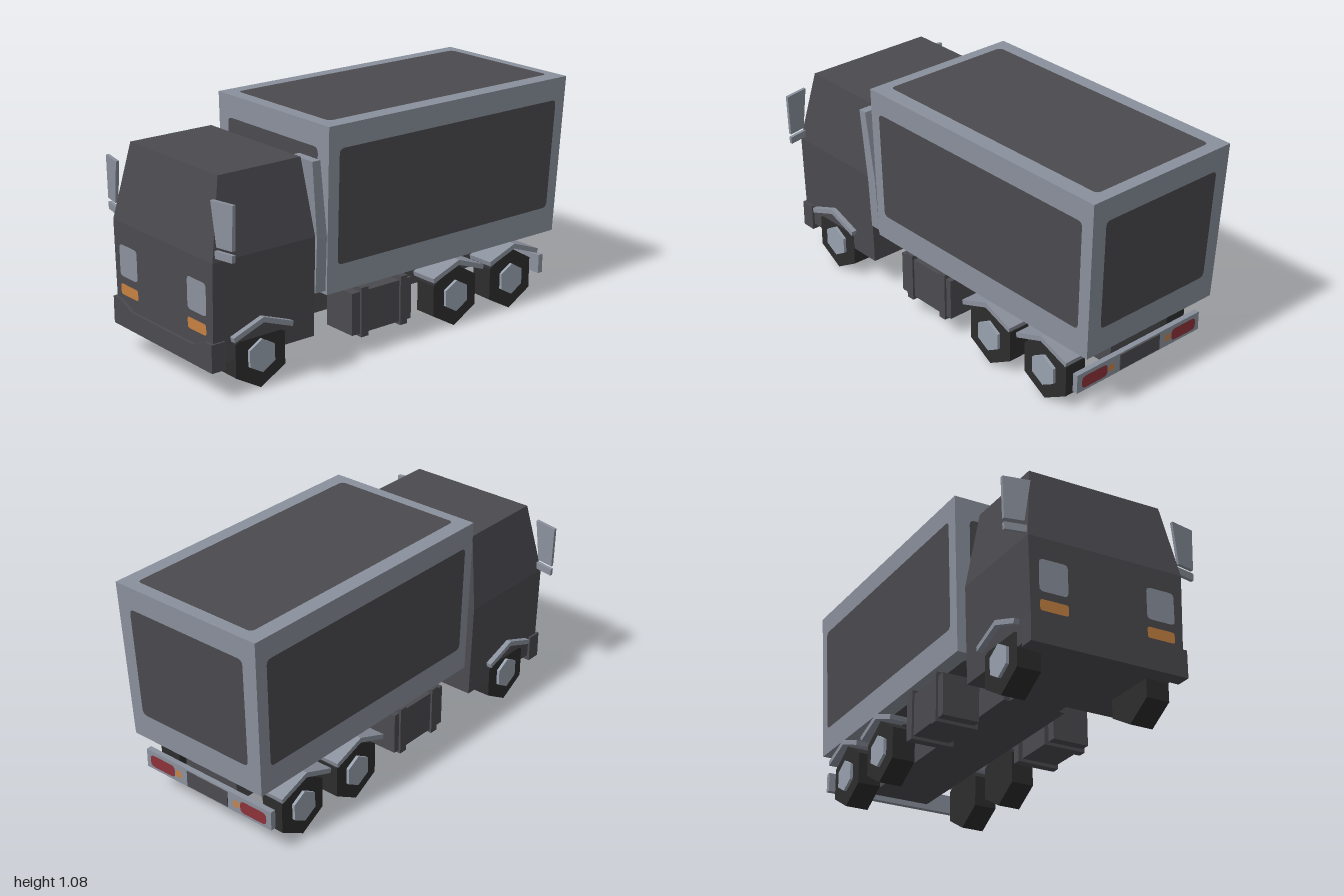
import * as THREE from 'three';

function material(name, color) {
  const m = new THREE.MeshStandardMaterial({ color, flatShading: true });
  m.name = name;
  return m;
}

// Box whose sections follow levels of [y, xMin, xMax, zBack, zFront]
function tapered(levels) {
  const n = levels.length - 1;
  const g = new THREE.BoxGeometry(1, 1, 1, 1, n, 1).toNonIndexed();
  const p = g.attributes.position;
  for (let i = 0; i < p.count; i++) {
    const [y, x0, x1, z0, z1] = levels[Math.round((p.getY(i) + 0.5) * n)];
    p.setXYZ(i, p.getX(i) < 0 ? x0 : x1, y, p.getZ(i) < 0 ? z0 : z1);
  }
  g.computeVertexNormals();
  return g;
}

// Box given by its limits
function block(x0, x1, y0, y1, z0, z1) {
  return new THREE.BoxGeometry(x1 - x0, y1 - y0, z1 - z0)
    .translate((x0 + x1) / 2, (y0 + y1) / 2, (z0 + z1) / 2);
}

function roundedRect(x0, y0, x1, y1, r) {
  const s = new THREE.Shape();
  s.moveTo(x0 + r, y0).lineTo(x1 - r, y0).quadraticCurveTo(x1, y0, x1, y0 + r);
  s.lineTo(x1, y1 - r).quadraticCurveTo(x1, y1, x1 - r, y1);
  s.lineTo(x0 + r, y1).quadraticCurveTo(x0, y1, x0, y1 - r);
  s.lineTo(x0, y0 + r).quadraticCurveTo(x0, y0, x0 + r, y0);
  return s;
}

// Rounded panel laid just over a four-cornered face (anticlockwise from bottom left)
function facePanel(corners, u0, u1, v0, v1) {
  const [a, b, c, d] = corners.map((q) => new THREE.Vector3(...q));
  const w = a.distanceTo(b), h = a.distanceTo(d);
  const g = new THREE.ShapeGeometry(roundedRect(u0 * w, v0 * h, u1 * w, v1 * h, 0.025), 4);
  const normal = b.clone().sub(a).cross(d.clone().sub(a)).normalize().multiplyScalar(0.003);
  const p = g.attributes.position;
  for (let i = 0; i < p.count; i++) {
    const u = p.getX(i) / w, v = p.getY(i) / h;
    const q = a.clone().lerp(b, u).lerp(d.clone().lerp(c, u), v).add(normal);
    p.setXYZ(i, q.x, q.y, q.z);
  }
  g.computeVertexNormals();
  return g;
}

function extrude(points, depth) {
  const shape = new THREE.Shape(points.map(([x, y]) => new THREE.Vector2(x, y)));
  return new THREE.ExtrudeGeometry(shape, { depth, bevelEnabled: false });
}

export function createModel() {
  const truck = new THREE.Group();
  truck.name = 'truck';
  const dark = material('charcoal', 0x4b4a4f);
  const grey = material('blueGrey', 0x8b919d);
  const tyreMat = material('rubber', 0x2d2d2d);
  const rimMat = material('rim', 0x98a1ae);
  const orange = material('orange', 0xc88242);
  const red = material('red', 0x8c3238);

  const add = (name, geometry, mat) => {
    const mesh = new THREE.Mesh(geometry, mat);
    mesh.name = name;
    truck.add(mesh);
    return mesh;
  };

  // Cargo box with a dark rounded panel on every face
  const T = 0.392, B = 0.372, yT = 1.08, yB = 0.335, zF = 0.4, zT = -1, zB = -0.965;
  add('cargoBox', tapered([[yB, -B, B, zB, zF], [yT, -T, T, zT, zF]]), grey);
  const fbl = [-B, yB, zF], fbr = [B, yB, zF], ftl = [-T, yT, zF], ftr = [T, yT, zF];
  const rbl = [-B, yB, zB], rbr = [B, yB, zB], rtl = [-T, yT, zT], rtr = [T, yT, zT];
  const panels = {
    cargoPanelLeft: [[fbr, rbr, rtr, ftr], 0.04, 0.958, 0.168, 0.862],
    cargoPanelRight: [[rbl, fbl, ftl, rtl], 0.042, 0.96, 0.168, 0.862],
    cargoPanelFront: [[fbl, fbr, ftr, ftl], 0.09, 0.91, 0.168, 0.862],
    cargoPanelBack: [[rbr, rbl, rtl, rtr], 0.09, 0.91, 0.168, 0.862],
    cargoPanelTop: [[ftl, ftr, rtr, rtl], 0.09, 0.91, 0.04, 0.96],
    cargoPanelBottom: [[rbl, rbr, fbr, fbl], 0.09, 0.91, 0.04, 0.96],
  };
  for (const [name, args] of Object.entries(panels)) add(name, facePanel(...args), dark);

  // Cab, front bumper and chassis
  add('cab', tapered([
    [0.16, -0.358, 0.358, 0.46, 0.985],
    [0.61, -0.37, 0.37, 0.46, 0.985],
    [0.955, -0.32, 0.32, 0.495, 0.915],
  ]), dark);
  add('frontBumper', extrude([
    [-0.37, 0.135], [0.37, 0.135], [0.37, 0.26], [0.32, 0.26],
    [0.23, 0.222], [-0.23, 0.222], [-0.32, 0.26], [-0.37, 0.26],
  ], 0.07).translate(0, 0, 0.93), dark);
  add('chassis', block(-0.15, 0.15, 0.16, 0.334, -0.885, 0.4), dark);
  add('chassisNeck', block(-0.12, 0.12, 0.16, 0.345, 0.39, 0.47), dark);

  // Air intake behind the cab, on the left only
  add('airIntake', tapered([
    [0.355, 0.25, 0.368, 0.405, 0.458],
    [0.6, 0.25, 0.38, 0.405, 0.458],
    [0.947, 0.25, 0.39, 0.447, 0.488],
  ]), grey);

  for (const s of [1, -1]) {
    const side = s > 0 ? 'left' : 'right';
    const span = (a, b, ...rest) => block(Math.min(s * a, s * b), Math.max(s * a, s * b), ...rest);

    // Wheels, hubs and chevron mudguards
    for (const [axle, z] of [['Front', 0.745], ['Middle', -0.355], ['Rear', -0.705]]) {
      const hex = (r, w, x) => new THREE.CylinderGeometry(r, r, w, 6)
        .rotateZ(Math.PI / 2).rotateX(Math.PI / 2).translate(s * x, 0.15, z);
      add(side + axle + 'Tyre', hexUp(hex(0.148, 0.11, 0.305), z), tyreMat);
      add(side + axle + 'Hub', hexUp(hex(0.075, 0.06, 0.344), z), rimMat);
      const guard = extrude([
        [-0.155, 0.27], [-0.15, 0.248], [0, 0.303], [0.15, 0.248], [0.155, 0.27], [0, 0.327],
      ], 0.137).rotateY(Math.PI / 2);
      add(side + axle + 'Mudguard', guard.translate(s > 0 ? 0.25 : -0.387, 0, z), grey);
    }

    // Fuel tank with straps
    add(side + 'Tank', span(0.185, 0.36, 0.105, 0.3, -0.09, 0.25), dark);
    for (const z of [-0.04, 0.185]) {
      add(side + 'TankStrap', span(0.165, 0.37, 0.09, 0.32, z - 0.02, z + 0.02), dark);
    }

    // Mirrors, with outer edges swept back
    const swept = (points) => {
      const g = extrude(points.map(([x, y]) => [s * x, y]), 0.016);
      const p = g.attributes.position;
      for (let i = 0; i < p.count; i++) {
        p.setZ(i, p.getZ(i) + 0.957 - (Math.abs(p.getX(i)) - 0.35) * 0.2);
      }
      g.computeVertexNormals();
      return g;
    };
    add(side + 'Mirror', swept([[0.375, 0.677], [0.46, 0.677], [0.466, 0.871], [0.348, 0.871]]), grey);
    add(side + 'MirrorArm', swept([[0.365, 0.627], [0.458, 0.627], [0.46, 0.66], [0.365, 0.66]]), grey);

    // Front lamps
    const lamp = (x0, y0, x1, y1, r) => new THREE.ShapeGeometry(
      roundedRect(Math.min(s * x0, s * x1), y0, Math.max(s * x0, s * x1), y1, r), 3);
    add(side + 'Headlight', lamp(0.188, 0.367, 0.323, 0.512, 0.02).translate(0, 0, 0.989), grey);
    add(side + 'FrontIndicator', lamp(0.187, 0.282, 0.32, 0.332, 0.012).translate(0, 0, 0.989), orange);

    // Rear lamps
    const rear = (g) => g.rotateY(Math.PI).translate(0, 0, -0.914);
    add(side + 'TailLight', rear(lamp(0.195, 0.15, 0.345, 0.208, 0.022)), red);
    add(side + 'RearIndicator', rear(lamp(0.155, 0.162, 0.188, 0.196, 0.01)), orange);
  }

  // Rear bumper bar with a dark centre plate
  add('rearBumper', block(-0.37, 0.37, 0.135, 0.225, -0.911, -0.885), grey);
  add('rearPlate', block(-0.12, 0.12, 0.142, 0.218, -0.915, -0.911), dark);
  return truck;
}

// Turns a six-sided wheel so that a corner points straight up
function hexUp(g, z) {
  g.computeBoundingBox();
  const { min, max } = g.boundingBox;
  if (max.y - min.y < max.z - min.z) {
    g.translate(0, -0.15, -z).rotateX(Math.PI / 6).translate(0, 0.15, z);
  }
  return g;
}
